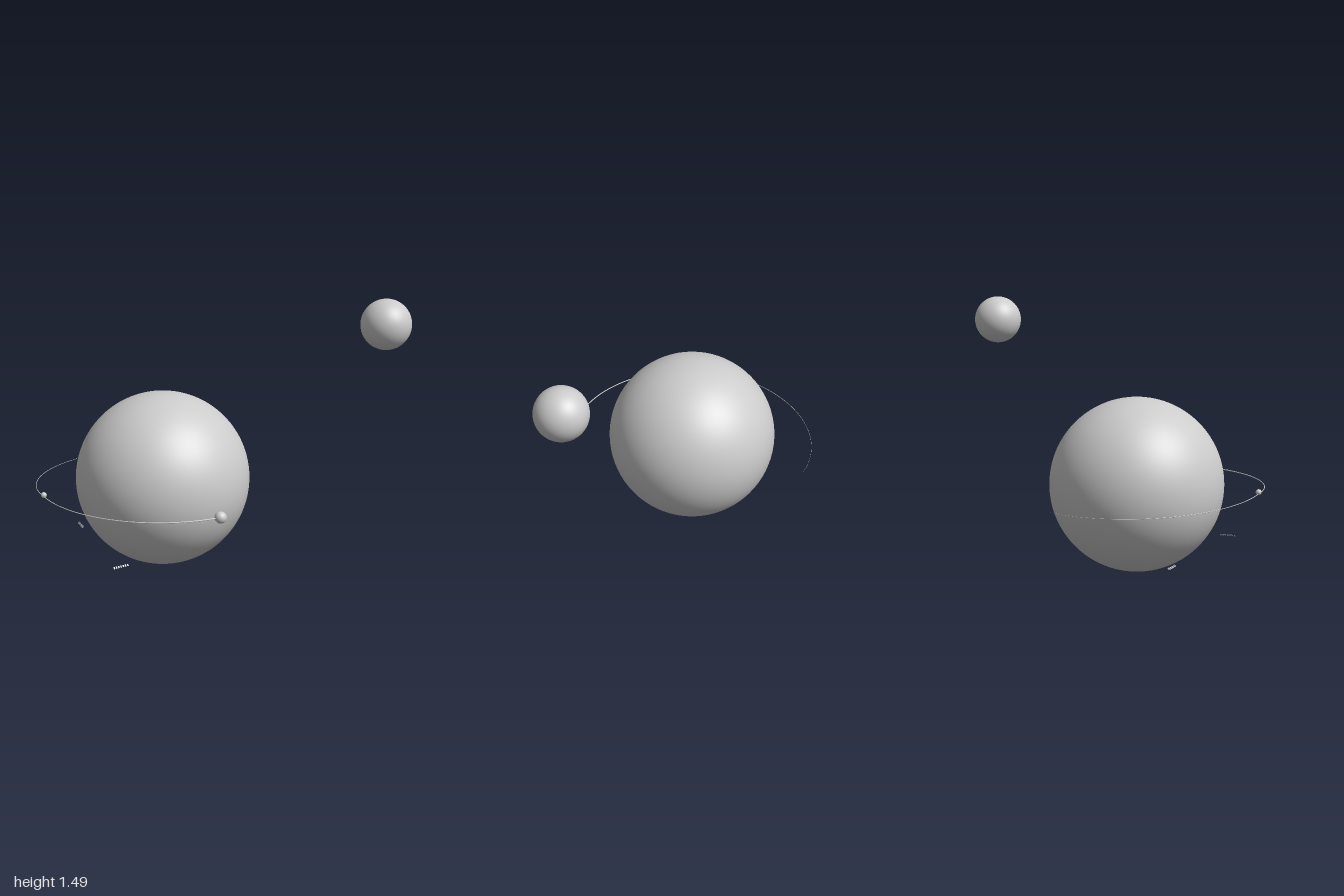
import * as THREE from 'three';

const grey = new THREE.MeshStandardMaterial({ color: 0xcccccc });
const CENTRE = new THREE.Vector3(-0.275, 0.489, -0.02);
const ORBIT = 0.708;

function sphere(name, radius, x, y, z, segments) {
  const mesh = new THREE.Mesh(new THREE.SphereGeometry(radius, segments, segments / 2), grey);
  mesh.name = name;
  mesh.position.set(x, y, z);
  return mesh;
}

// Arc around the planet: level over the front quarter, dipping towards the back
class OrbitCurve extends THREE.Curve {
  getPoint(t, target = new THREE.Vector3()) {
    const a = t * THREE.MathUtils.degToRad(197);
    const dip = 0.055 * Math.max(0, -Math.cos(a));
    return target.set(-ORBIT * Math.sin(a), -dip, ORBIT * Math.cos(a)).add(CENTRE);
  }
}

// Tube thinning out along its length
function taperedTube(curve, startRadius, endRadius, steps, sides) {
  const geometry = new THREE.TubeGeometry(curve, steps, startRadius, sides);
  const pos = geometry.attributes.position;
  const v = new THREE.Vector3();
  for (let i = 0; i < pos.count; i++) {
    const t = Math.floor(i / (sides + 1)) / steps;
    const c = curve.getPointAt(t);
    v.fromBufferAttribute(pos, i).sub(c);
    v.multiplyScalar(THREE.MathUtils.lerp(1, endRadius / startRadius, t)).add(c);
    pos.setXYZ(i, v.x, v.y, v.z);
  }
  return geometry;
}

// Row of tiny plain tilted ticks
function tickRow(name, x, y, z, yaw) {
  const row = new THREE.Group();
  row.name = name;
  const geometry = new THREE.BoxGeometry(0.008, 0.013, 0.001);
  for (let i = 0; i < 7; i++) {
    const tick = new THREE.Mesh(geometry, grey);
    tick.name = 'tick';
    tick.position.x = (i - 3) * 0.0135;
    tick.rotation.x = -Math.PI / 4;
    row.add(tick);
  }
  row.position.set(x, y, z);
  row.rotation.y = yaw;
  return row;
}

export function createModel() {
  const model = new THREE.Group();
  model.name = 'planetModel';

  // Planet, distant moon and the two beads on the orbit
  model.add(
    sphere('planet', 0.487, CENTRE.x, CENTRE.y, CENTRE.z, 96),
    sphere('moon', 0.141, 0.857, 1.35, 0.47, 64),
    sphere('largeSatellite', 0.032, CENTRE.x, 0.49, CENTRE.z + ORBIT, 32),
    sphere('smallSatellite', 0.016, CENTRE.x - ORBIT, 0.498, CENTRE.z, 32)
  );

  // Orbit trail
  const trail = new THREE.Mesh(taperedTube(new OrbitCurve(), 0.0035, 0.0004, 160, 8), grey);
  trail.name = 'orbitTrail';
  model.add(trail);

  // Marker rows beside the planet
  model.add(
    tickRow('frontMarkers', -0.692, 0.162, 0.34, 0.09),
    tickRow('backMarkers', -0.632, 0.133, -0.392, -Math.PI / 2 - 0.07)
  );
  return model;
}
